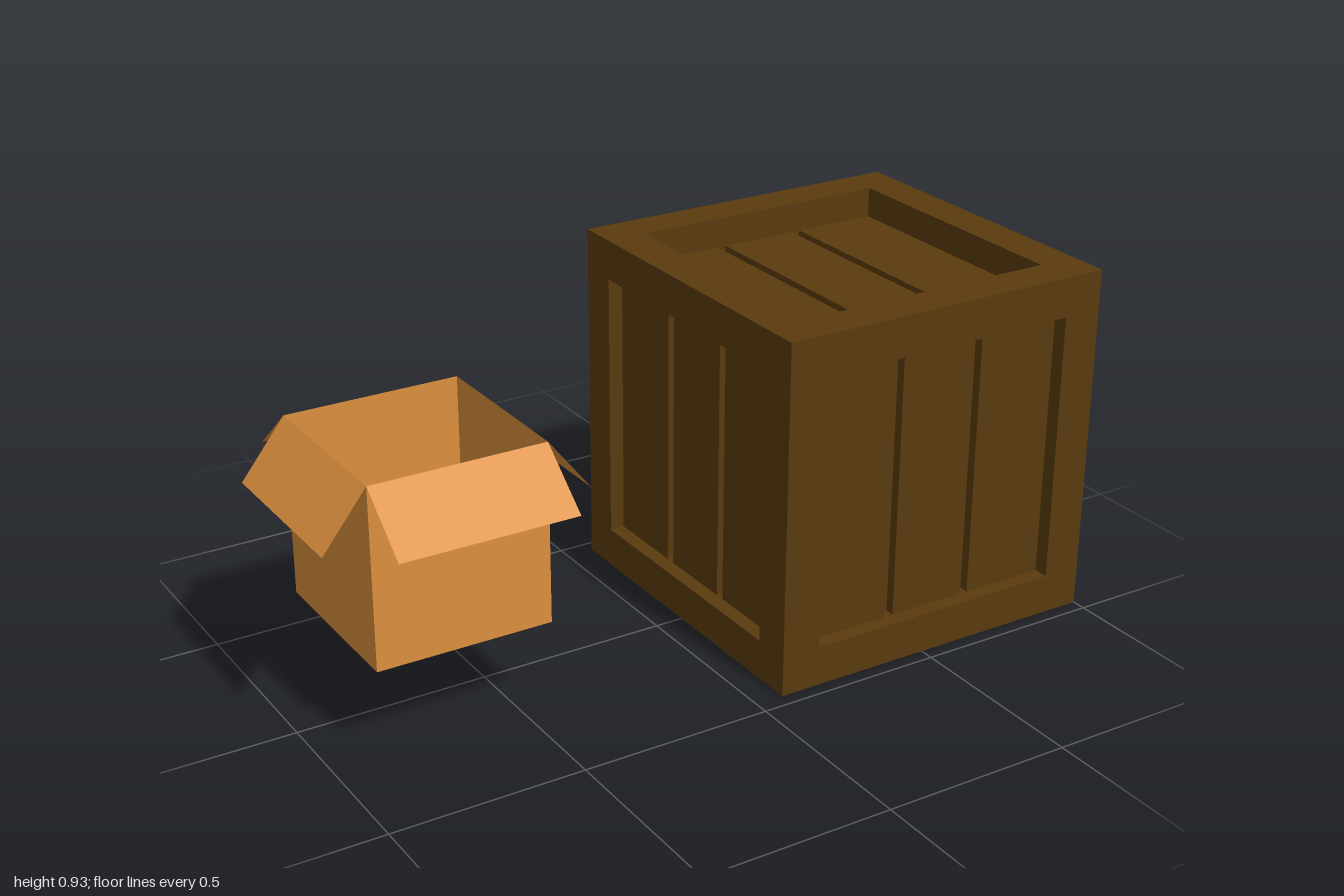
import * as THREE from 'three';

const SIZE = 0.925, HALF = SIZE / 2, BEAM = 0.105, OPEN = HALF - BEAM;
const PLANK = 0.025;

const wood = new THREE.MeshStandardMaterial({ color: 0x5a3b0e, flatShading: true });
const card = new THREE.MeshStandardMaterial({ color: 0xdb8f3d, flatShading: true, side: THREE.DoubleSide });

function box(parent, name, w, h, d, x, y, z) {
  const mesh = new THREE.Mesh(new THREE.BoxGeometry(w, h, d), wood);
  mesh.name = name;
  mesh.position.set(x, y, z);
  parent.add(mesh);
}

// Flat panel from four corners in order
function panel(parent, name, corners) {
  const g = new THREE.BufferGeometry();
  g.setAttribute('position', new THREE.Float32BufferAttribute(corners.flat(), 3));
  g.setIndex([0, 1, 2, 0, 2, 3]);
  g.computeVertexNormals();
  const mesh = new THREE.Mesh(g, card);
  mesh.name = name;
  parent.add(mesh);
}

function createCrate() {
  const crate = new THREE.Group();
  crate.name = 'woodenCrate';
  const c = HALF - BEAM / 2;

  // Square frame: four posts with rails between them
  for (const a of [-1, 1]) {
    for (const b of [-1, 1]) {
      box(crate, 'cornerPost', BEAM, SIZE, BEAM, a * c, 0, b * c);
      box(crate, 'crossRail', OPEN * 2, BEAM, BEAM, 0, a * c, b * c);
      box(crate, 'sideRail', BEAM, BEAM, OPEN * 2, a * c, b * c, 0);
    }
  }

  // Solid core closing the gaps behind the planks
  const low = -HALF + 0.065, high = HALF - 0.105;
  box(crate, 'core', 0.795, high - low, 0.795, 0, (low + high) / 2, 0);

  // Three recessed planks per face; the lid sits deeper
  const q = Math.PI / 2;
  const faces = [
    ['front', 0, 0, 0.04], ['left', 0, q, 0.04], ['back', 0, 2 * q, 0.04],
    ['right', 0, -q, 0.04], ['top', -q, 0, 0.08], ['bottom', q, 0, 0.04],
  ];
  for (const [name, rx, ry, depth] of faces) {
    const face = new THREE.Group();
    face.name = name + 'Planks';
    face.rotation.set(rx, ry, 0);
    for (const [from, to] of [[-OPEN, -0.13], [-0.105, 0.105], [0.13, OPEN]]) {
      box(face, 'plank', to - from, OPEN * 2, PLANK, (from + to) / 2, 0, HALF - depth - PLANK / 2);
    }
    crate.add(face);
  }
  crate.position.set(1 - HALF, HALF, 0);
  return crate;
}

function createCarton() {
  const carton = new THREE.Group();
  carton.name = 'cardboardBox';
  const r = 0.2275, h = 0.468;
  panel(carton, 'floor', [[-r, 0, -r], [r, 0, -r], [r, 0, r], [-r, 0, r]]);

  // Each side: a wall and a flap folded outward
  const sides = [
    ['front', 0.15, 0.126], ['left', 0.115, 0.146], ['back', 0.15, 0.126], ['right', 0.115, 0.146],
  ];
  sides.forEach(([name, out, drop], i) => {
    const side = new THREE.Group();
    side.name = name + 'Side';
    side.rotation.y = i * Math.PI / 2;
    panel(side, 'wall', [[-r, 0, r], [r, 0, r], [r, h, r], [-r, h, r]]);
    panel(side, 'flap', [[-r, h - drop, r + out], [r, h - drop, r + out], [r, h, r], [-r, h, r]]);
    carton.add(side);
  });
  carton.position.set(-0.6575, 0.24, -0.002);
  return carton;
}

export function createModel() {
  const model = new THREE.Group();
  model.name = 'crateAndBox';
  model.add(createCrate(), createCarton());
  return model;
}
